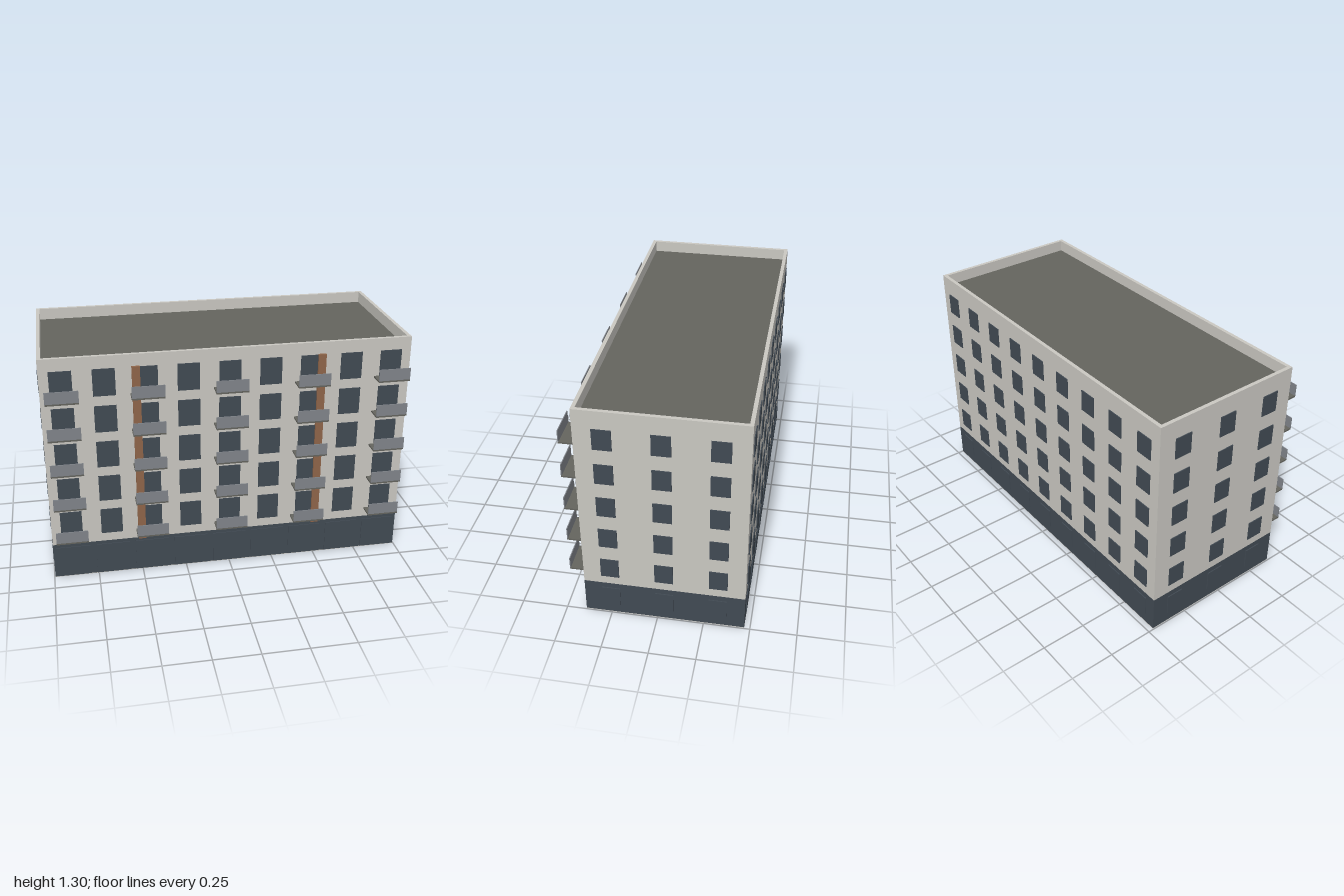
import * as THREE from 'three';

const mat = (name, color) => Object.assign(new THREE.MeshStandardMaterial({ color }), { name });

export function createModel() {
  const wall = mat('pale wall', 0xc9c7c1);
  const dark = mat('dark slate', 0x414a53);
  const roofGrey = mat('roof grey', 0x64645e);
  const railGrey = mat('railing grey', 0x80848a);
  const brick = mat('brick brown', 0x8f6549);

  const building = new THREE.Group();
  building.name = 'apartmentBlock';

  // Box given by its centre in x and z and its bottom in y
  const box = (name, material, w, h, d, x, y, z, parent = building) => {
    const mesh = new THREE.Mesh(new THREE.BoxGeometry(w, h, d), material);
    mesh.position.set(x, y + h / 2, z);
    mesh.name = name;
    parent.add(mesh);
    return mesh;
  };

  const W = 1.99, D = 0.862, CZ = -0.038;
  const front = CZ + D / 2, back = CZ - D / 2;
  const baseH = 0.21, storey = 0.206, floors = 5, roofY = 1.24, top = 1.305;
  const columns = 9, sideColumns = 3, out = 0.01;

  // Main masses
  box('bottomSlab', wall, W, 0.004, D, 0, 0, CZ);
  box('base', dark, W, baseH - 0.004, D, 0, 0.004, CZ);
  box('walls', wall, W, roofY - baseH, D, 0, baseH, CZ);

  // Sunken roof and parapet ring
  const t = 0.02;
  box('roof', roofGrey, W - 2 * t, 0.002, D - 2 * t, 0, roofY, CZ);
  for (const s of [-1, 1]) {
    box('parapetLong', wall, W, top - roofY, t, 0, roofY, CZ + s * (D - t) / 2);
    box('parapetShort', wall, t, top - roofY, D - 2 * t, s * (W - t) / 2, roofY, CZ);
  }

  const columnX = (i) => (i - (columns - 1) / 2) * (W / columns);
  const sideZ = (i) => CZ + (i - (sideColumns - 1) / 2) * (D / sideColumns);

  // Windows on the back and both ends for one level
  const plainWindows = (name, y) => {
    for (let i = 0; i < columns; i++) box(name, dark, 0.098, 0.118, out, columnX(i), y, back);
    for (let i = 0; i < sideColumns; i++) {
      for (const s of [-1, 1]) box(name, dark, out, 0.118, 0.098, s * W / 2, y, sideZ(i));
    }
  };

  // Ground level: wide front panels, small windows elsewhere
  plainWindows('baseWindow', 0.06);
  for (let i = 0; i < columns; i++) box('basePanel', dark, 0.188, 0.184, out, columnX(i), 0.006, front);

  // Upper levels, with a balcony on every second front column
  for (let f = 0; f < floors; f++) {
    const y = baseH + f * storey + 0.052;
    plainWindows('window', y);
    for (let i = 0; i < columns; i++) {
      const x = columnX(i);
      box('frontWindow', dark, 0.118, 0.15, out, x, y, front);
      if (i % 2) continue;
      const balcony = new THREE.Group();
      balcony.name = 'balcony';
      box('balconySlab', roofGrey, 0.174, 0.009, 0.082, x, y - 0.004, front + 0.041, balcony);
      box('balconyRailing', railGrey, 0.174, 0.065, 0.005, x, y + 0.005, front + 0.0795, balcony);
      building.add(balcony);
    }
  }

  // Vertical accent strips
  for (const s of [-1, 1]) box('accentStrip', brick, 0.043, roofY - baseH, 0.03, s * W / 4, baseH, front);

  return building;
}
